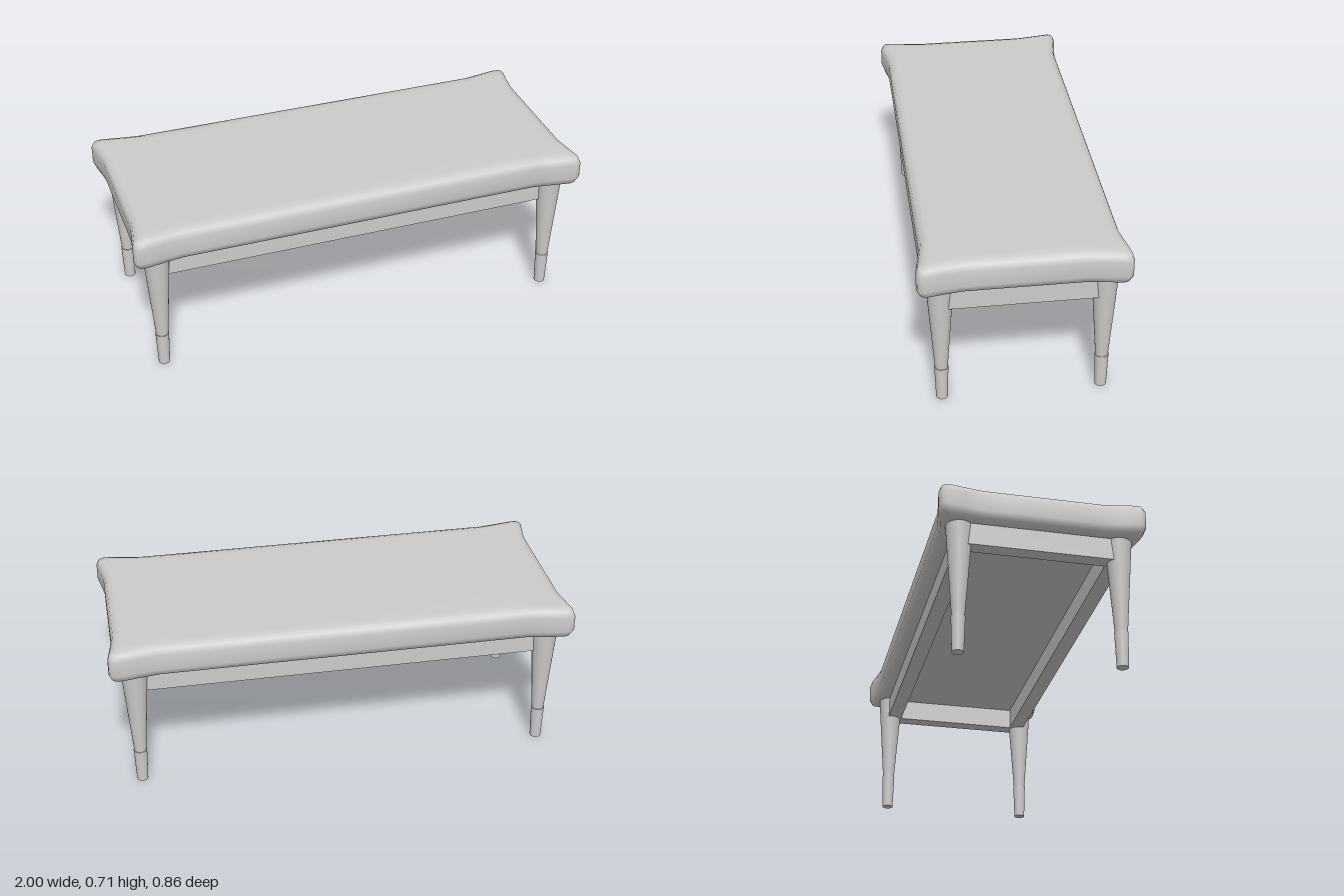
import * as THREE from 'three';

const material = new THREE.MeshStandardMaterial({ color: 0xcccccc });

function add(parent, name, geometry, x = 0, y = 0, z = 0) {
  const mesh = new THREE.Mesh(geometry, material);
  mesh.name = name;
  mesh.position.set(x, y, z);
  parent.add(mesh);
  return mesh;
}

// One quarter of the cushion outline [x, z]: nearly straight sides flaring to a rounded corner
const quarter = [
  [0.975, 0.13], [0.975, 0.26], [0.986, 0.33], [0.998, 0.4], [0.996, 0.415],
  [0.985, 0.426], [0.965, 0.43], [0.94, 0.427], [0.87, 0.415], [0.8, 0.405], [0.4, 0.405],
];

function cushionGeometry() {
  const mirrored = (sx, sz) => quarter.map(([x, z]) => [x * sx, z * sz]);
  const outline = [
    ...mirrored(1, 1), ...mirrored(-1, 1).reverse(),
    ...mirrored(-1, -1), ...mirrored(1, -1).reverse(),
  ];
  // Cross-section from underside to top: [inset, y, scale]
  const profile = [
    [0.06, 0.56, 0], [0.06, 0.56, 1], [0.038, 0.56, 1], [0.012, 0.571, 1], [0, 0.6, 1],
    [0, 0.668, 1], [0.01, 0.694, 1], [0.038, 0.704, 1], [0.07, 0.706, 1], [0.07, 0.706, 0],
  ];
  const positions = [], index = [], n = outline.length;
  profile.forEach(([inset, y, scale], j) => {
    outline.forEach(([x, z], i) => {
      positions.push((x - Math.sign(x) * inset) * scale, y, (z - Math.sign(z) * inset) * scale);
      if (j === profile.length - 1) return;
      const a = j * n + i, b = j * n + (i + 1) % n;
      index.push(a, a + n, b, b, a + n, b + n);
    });
  });
  const geometry = new THREE.BufferGeometry();
  geometry.setAttribute('position', new THREE.Float32BufferAttribute(positions, 3));
  geometry.setIndex(index);
  geometry.computeVertexNormals();
  return geometry;
}

export function createModel() {
  const model = new THREE.Group();
  model.name = 'bench';

  add(model, 'cushion', cushionGeometry());

  // Apron frame: outer rectangle with an open middle
  const frame = new THREE.Shape();
  frame.moveTo(-0.93, -0.345).lineTo(0.93, -0.345).lineTo(0.93, 0.345).lineTo(-0.93, 0.345).closePath();
  const opening = new THREE.Path();
  opening.moveTo(-0.865, -0.28).lineTo(-0.865, 0.28).lineTo(0.865, 0.28).lineTo(0.865, -0.28).closePath();
  frame.holes.push(opening);
  const apron = new THREE.ExtrudeGeometry(frame, { depth: 0.1, bevelEnabled: false });
  apron.rotateX(-Math.PI / 2);
  add(model, 'apron', apron, 0, 0.465, 0);

  // Tapered round legs with a slightly wider foot sleeve
  const upper = new THREE.CylinderGeometry(0.056, 0.026, 0.415, 32);
  const sleeve = new THREE.CylinderGeometry(0.029, 0.024, 0.155, 32);
  for (const x of [-0.892, 0.892]) {
    for (const z of [-0.332, 0.332]) {
      const leg = new THREE.Group();
      leg.name = (z > 0 ? 'front' : 'back') + (x > 0 ? 'Left' : 'Right') + 'Leg';
      leg.position.set(x, 0, z);
      add(leg, 'legShaft', upper, 0, 0.3575, 0);
      add(leg, 'footSleeve', sleeve, 0, 0.0775, 0);
      model.add(leg);
    }
  }
  return model;
}
